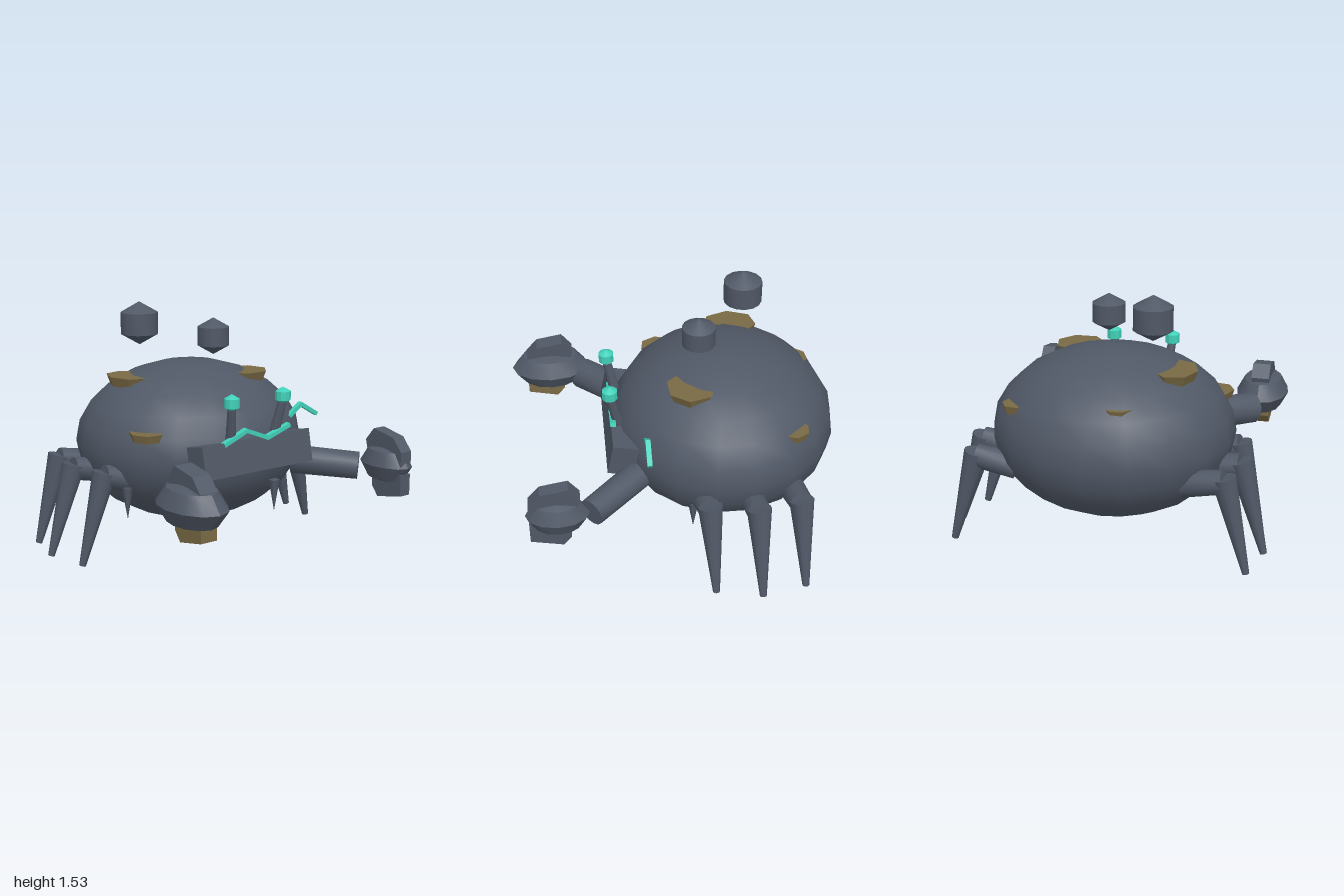
import * as THREE from 'three';
import { toCreasedNormals } from 'three/addons/utils/BufferGeometryUtils.js';

export function createModel() {
  const model = new THREE.Group();
  const mat = (name, color) => {
    const m = new THREE.MeshStandardMaterial({ color });
    m.name = name;
    return m;
  };
  const slate = mat('slate stone', 0x505866);
  const brown = mat('moss brown', 0x7a6a45);
  const teal = mat('glowing teal', 0x40d0b8);
  const V = (x, y, z) => new THREE.Vector3(x, y, z);

  function add(name, geo, material, pos = [0, 0, 0], crease = 0.6) {
    const mesh = new THREE.Mesh(toCreasedNormals(geo, crease), material);
    mesh.name = name;
    mesh.position.set(...pos);
    model.add(mesh);
    return mesh;
  }
  // Tapered round limb from a to b
  function limb(name, a, b, ra, rb, material, sides = 12) {
    const dir = b.clone().sub(a);
    const geo = new THREE.CylinderGeometry(rb, ra, dir.length(), sides);
    const mesh = add(name, geo, material, a.clone().add(b).multiplyScalar(0.5).toArray());
    mesh.quaternion.setFromUnitVectors(V(0, 1, 0), dir.normalize());
  }
  // Angular strip that follows points in the xy plane
  function zigzag(name, points, z, depth, thick) {
    for (let i = 0; i < points.length - 1; i++) {
      const [x0, y0] = points[i], [x1, y1] = points[i + 1];
      const geo = new THREE.BoxGeometry(Math.hypot(x1 - x0, y1 - y0) + 0.012, thick, depth);
      const mesh = add(name, geo, teal, [(x0 + x1) / 2, (y0 + y1) / 2, z]);
      mesh.rotation.z = Math.atan2(y1 - y0, x1 - x0);
    }
  }

  // Shell
  const shell = new THREE.SphereGeometry(1, 18, 12).rotateY(Math.PI / 2).scale(0.73, 0.5, 0.69);
  add('shell', shell, slate, [0, 0.665, -0.31], 0.8);

  // Moss slabs sunk in the shell: x, y, z, radius x, radius z, thickness, turn
  [
    [-0.39, 1.06, -0.40, 0.14, 0.18, 0.06, 0.2],
    [0.27, 1.07, -0.09, 0.16, 0.16, 0.06, 0.5],
    [-0.555, 0.805, 0.04, 0.11, 0.12, 0.05, 0.3],
    [0.48, 0.875, -0.67, 0.09, 0.10, 0.05, 0.8],
    [-0.15, 0.95, -0.79, 0.09, 0.075, 0.04, 0.1],
  ].forEach(([x, y, z, rx, rz, h, turn]) => {
    const geo = new THREE.CylinderGeometry(0.95, 0.8, h, 7).rotateY(turn).scale(rx, 1, rz);
    add('mossPatch', geo, brown, [x, y, z]);
  });

  // Floating stones
  add('floatingStoneLarge', new THREE.SphereGeometry(0.135, 14, 3), slate, [-0.27, 1.4, -0.46]);
  add('floatingStoneSmall', new THREE.SphereGeometry(0.115, 14, 3), slate, [0.075, 1.325, -0.15]);

  // Head block
  add('head', new THREE.BoxGeometry(0.81, 0.2, 0.2), slate, [0, 0.67, 0.31]).rotation.x = -0.2;

  // Eyes on stalks
  for (const s of [-1, 1]) {
    limb('eyeStalk', V(s * 0.16, 0.74, 0.335), V(s * 0.192, 1.0, 0.39), 0.034, 0.026, slate, 10);
    add('eye', new THREE.SphereGeometry(0.054, 10, 3), teal, [s * 0.193, 1.02, 0.39]);
  }

  // Glowing cracks
  zigzag('headCrack', [[-0.24, 0.775], [-0.08, 0.84], [0.08, 0.775], [0.245, 0.83]], 0.378, 0.035, 0.025);
  zigzag('shellCrack', [[0.41, 0.83], [0.505, 0.895], [0.63, 0.82]], 0.19, 0.03, 0.025);

  // Legs: knee z, foot z, knee x, foot x
  for (const s of [-1, 1]) {
    [[-0.15, -0.18, 0.74, 0.885], [-0.43, -0.455, 0.79, 0.945], [-0.69, -0.725, 0.74, 0.885]]
      .forEach(([kz, fz, kx, fx]) => {
        limb('upperLeg', V(s * 0.5, 0.5, kz + 0.03), V(s * kx, 0.55, kz), 0.08, 0.07, slate);
        limb('lowerLeg', V(s * (kx - 0.005), 0.575, kz), V(s * fx, 0.012, fz), 0.074, 0.021, slate);
      });
  }

  // Arms
  limb('rightArm', V(-0.4, 0.565, 0.24), V(-0.7, 0.54, 0.54), 0.1, 0.1, slate, 14);
  limb('leftArm', V(0.4, 0.565, 0.24), V(0.685, 0.54, 0.54), 0.09, 0.085, slate, 14);

  // Claws: faceted palm with a pincer slab above and below, profiles as [z, y]
  const upper = [[0.90, 0.6], [0.90, 0.69], [0.83, 0.77], [0.665, 0.80], [0.60, 0.72], [0.63, 0.6]];
  const lower = [[0.90, 0.55], [0.90, 0.42], [0.71, 0.38], [0.66, 0.44], [0.66, 0.55]];
  function pincer(name, profile, x, width, material) {
    const shape = new THREE.Shape(profile.map(([z, y]) => new THREE.Vector2(-z, y)));
    const geo = new THREE.ExtrudeGeometry(shape, { depth: width, bevelEnabled: false });
    geo.translate(0, 0, -width / 2).rotateY(Math.PI / 2);
    add(name, geo, material, [x, 0, 0], 0.1);
  }
  [
    ['right', -0.735, 0.17, 0.135, 0.255, 0.745, 0.115, brown],
    ['left', 0.73, 0.12, 0.122, 0.187, 0.735, 0.085, slate],
  ].forEach(([side, x, rx, ry, rz, z, width, lowerMaterial]) => {
    const palm = new THREE.SphereGeometry(1, 12, 4).scale(rx, ry, rz);
    add(side + 'Claw', palm, slate, [x, 0.59, z]);
    pincer(side + 'UpperPincer', upper, x, width, slate);
    pincer(side + 'LowerPincer', lower, x, width * 0.93, lowerMaterial);
  });

  // Hanging spikes
  [[0.195, 0.38, 0.315], [0.58, 0.38, -0.07], [-0.62, 0.38, -0.08]].forEach((p) => {
    add('hangingSpike', new THREE.ConeGeometry(0.034, 0.2, 6).rotateX(Math.PI), slate, p);
  });

  return model;
}
